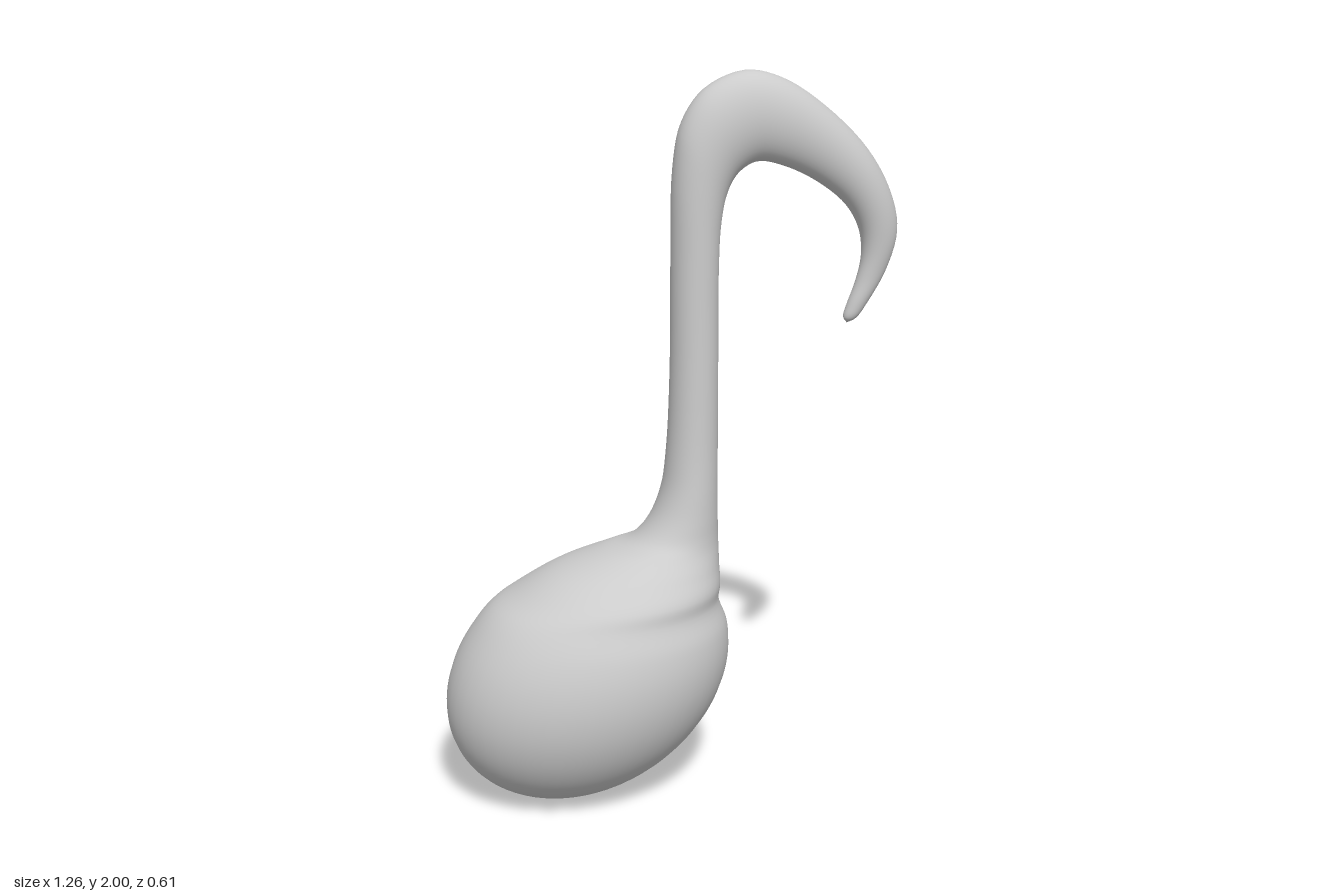
import * as THREE from 'three';
import { mergeVertices } from 'three/addons/utils/BufferGeometryUtils.js';

// Each station: left edge x, y; right edge x, y; half depth in z
const STEM_AND_FLAG = [
  [-0.435, 0.6, 0.137, 0.6, 0.233],
  [-0.33, 0.66, 0.135, 0.65, 0.182],
  [-0.2, 0.705, 0.134, 0.7, 0.132],
  [-0.11, 0.732, 0.132, 0.74, 0.109],
  [-0.06, 0.785, 0.131, 0.79, 0.098],
  [-0.025, 0.87, 0.13, 0.87, 0.089],
  [-0.01, 0.98, 0.13, 0.98, 0.081],
  [0, 1.2, 0.13, 1.2, 0.075],
  [0.002, 1.5, 0.13, 1.48, 0.072],
  [0.007, 1.75, 0.136, 1.6, 0.072],
  [0.03, 1.87, 0.152, 1.68, 0.072],
  [0.09, 1.955, 0.18, 1.73, 0.072],
  [0.2, 2.0, 0.23, 1.76, 0.071],
  [0.3, 1.978, 0.3, 1.748, 0.07],
  [0.42, 1.9, 0.4, 1.7, 0.066],
  [0.54, 1.78, 0.485, 1.63, 0.06],
  [0.607, 1.66, 0.523, 1.56, 0.051],
  [0.627, 1.56, 0.53, 1.49, 0.042],
  [0.6, 1.455, 0.515, 1.42, 0.032],
  [0.55, 1.365, 0.492, 1.358, 0.025],
  [0.519, 1.322, 0.483, 1.325, 0.017],
  [0.493, 1.308, 0.493, 1.308, 0],
];

// Horizontal slices of the leaning egg-shaped head, from its lowest point up
function headStations() {
  const rows = [];
  for (let i = 0; i <= 10; i++) {
    const t = (i / 10) * 2.17;
    const dy = -0.355 * Math.cos(t), s = Math.sin(t);
    const mid = -0.235 + 0.24 * dy, y = 0.355 + dy;
    rows.push([mid - 0.386 * s, y, mid + 0.386 * s, y, 0.304 * s]);
  }
  return rows;
}

// Skin elliptical rings between a left and a right edge curve
function loft(rows, steps, sides) {
  const left = new THREE.CatmullRomCurve3(rows.map(r => new THREE.Vector3(r[0], r[1], r[4])));
  const right = new THREE.CatmullRomCurve3(rows.map(r => new THREE.Vector3(r[2], r[3], r[4])));
  const positions = [], index = [];
  for (let i = 0; i <= steps; i++) {
    const l = left.getPoint(i / steps), r = right.getPoint(i / steps);
    for (let j = 0; j < sides; j++) {
      const a = (j / sides) * Math.PI * 2, c = Math.cos(a) / 2;
      positions.push(
        (l.x + r.x) / 2 + (r.x - l.x) * c,
        (l.y + r.y) / 2 + (r.y - l.y) * c,
        ((l.z + r.z) / 2) * Math.sin(a));
      if (i < steps) {
        const p = i * sides + j, q = i * sides + ((j + 1) % sides);
        index.push(p, p + sides, q, q, p + sides, q + sides);
      }
    }
  }
  let geometry = new THREE.BufferGeometry();
  geometry.setAttribute('position', new THREE.Float32BufferAttribute(positions, 3));
  geometry.setIndex(index);
  geometry = mergeVertices(geometry, 1e-5);
  geometry.computeVertexNormals();
  return geometry;
}

export function createModel() {
  const group = new THREE.Group();
  group.name = 'musicNote';

  // Head, stem and flag flow into one smooth skin
  const rows = [...headStations(), ...STEM_AND_FLAG];
  const note = new THREE.Mesh(
    loft(rows, (rows.length - 1) * 5, 48),
    new THREE.MeshStandardMaterial({ color: 0xcccccc }));
  note.name = 'headStemAndFlag';
  group.add(note);
  return group;
}
